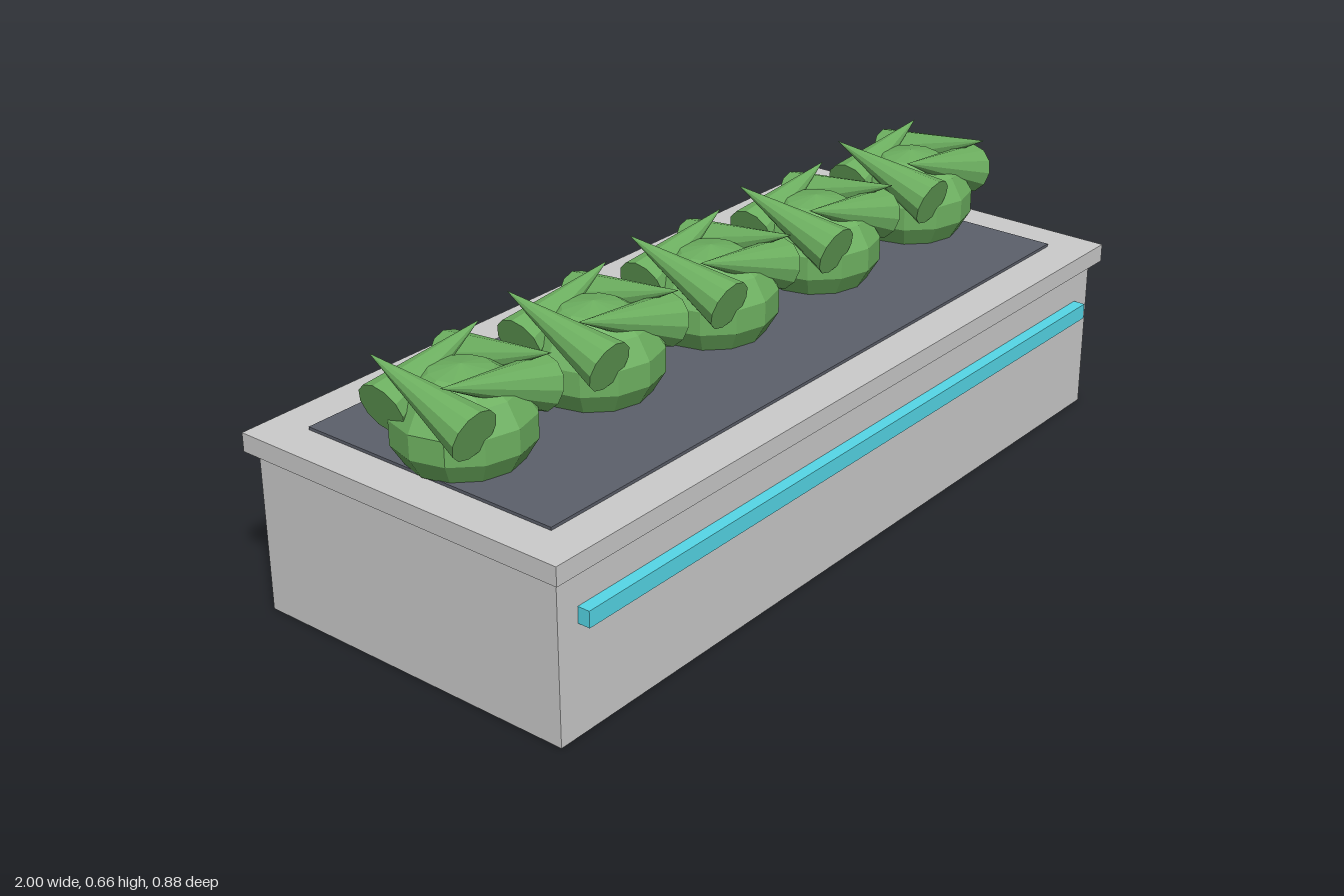
import * as THREE from 'three';

const material = (color) => new THREE.MeshStandardMaterial({ color, flatShading: true });

function addMesh(parent, name, geometry, mat, x = 0, y = 0, z = 0) {
  const mesh = new THREE.Mesh(geometry, mat);
  mesh.name = name;
  mesh.position.set(x, y, z);
  parent.add(mesh);
  return mesh;
}

export function createModel() {
  const model = new THREE.Group();
  model.name = 'planterBox';
  const grey = material(0xcccccc);
  const soilDark = material(0x5c606b);
  const cyan = material(0x55d8e8);
  const green = material(0x6db060);

  // Trough, overhanging rim and soil bed
  addMesh(model, 'trough', new THREE.BoxGeometry(1.956, 0.38, 0.826), grey, 0, 0.19, 0);
  addMesh(model, 'rim', new THREE.BoxGeometry(2, 0.044, 0.87), grey, 0, 0.402, 0);
  addMesh(model, 'soil', new THREE.BoxGeometry(1.81, 0.03, 0.674), soilDark, 0, 0.416, 0);

  // Accent strips along the front and back
  for (const side of [1, -1]) {
    addMesh(model, side > 0 ? 'frontStrip' : 'backStrip',
      new THREE.BoxGeometry(1.84, 0.038, 0.06), cyan, 0, 0.274, side * 0.412);
  }

  // Plants: squashed ball with a pinwheel of four rising cone leaves
  const ball = new THREE.SphereGeometry(0.158, 12, 7).scale(1, 0.8, 1);
  const leaf = new THREE.ConeGeometry(0.06, 0.297, 12);
  const up = new THREE.Vector3(0, 1, 0);
  const leaves = [
    { base: [0.113, -0.142], tip: [0.113, 0.14] },
    { base: [-0.113, 0.142], tip: [-0.113, -0.14] },
    { base: [0.142, 0.083], tip: [-0.14, 0.083] },
    { base: [-0.142, -0.083], tip: [0.14, -0.083] },
  ];
  for (let i = 0; i < 5; i++) {
    const plant = new THREE.Group();
    plant.name = 'plant';
    plant.position.x = (i - 2) * 0.395;
    addMesh(plant, 'foliageBall', ball, green, 0, 0.507, 0);
    for (const { base, tip } of leaves) {
      const b = new THREE.Vector3(base[0], 0.562, base[1]);
      const t = new THREE.Vector3(tip[0], 0.655, tip[1]);
      const cone = addMesh(plant, 'leaf', leaf, green);
      cone.position.copy(b).add(t).multiplyScalar(0.5);
      cone.quaternion.setFromUnitVectors(up, t.sub(b).normalize());
    }
    model.add(plant);
  }
  return model;
}
